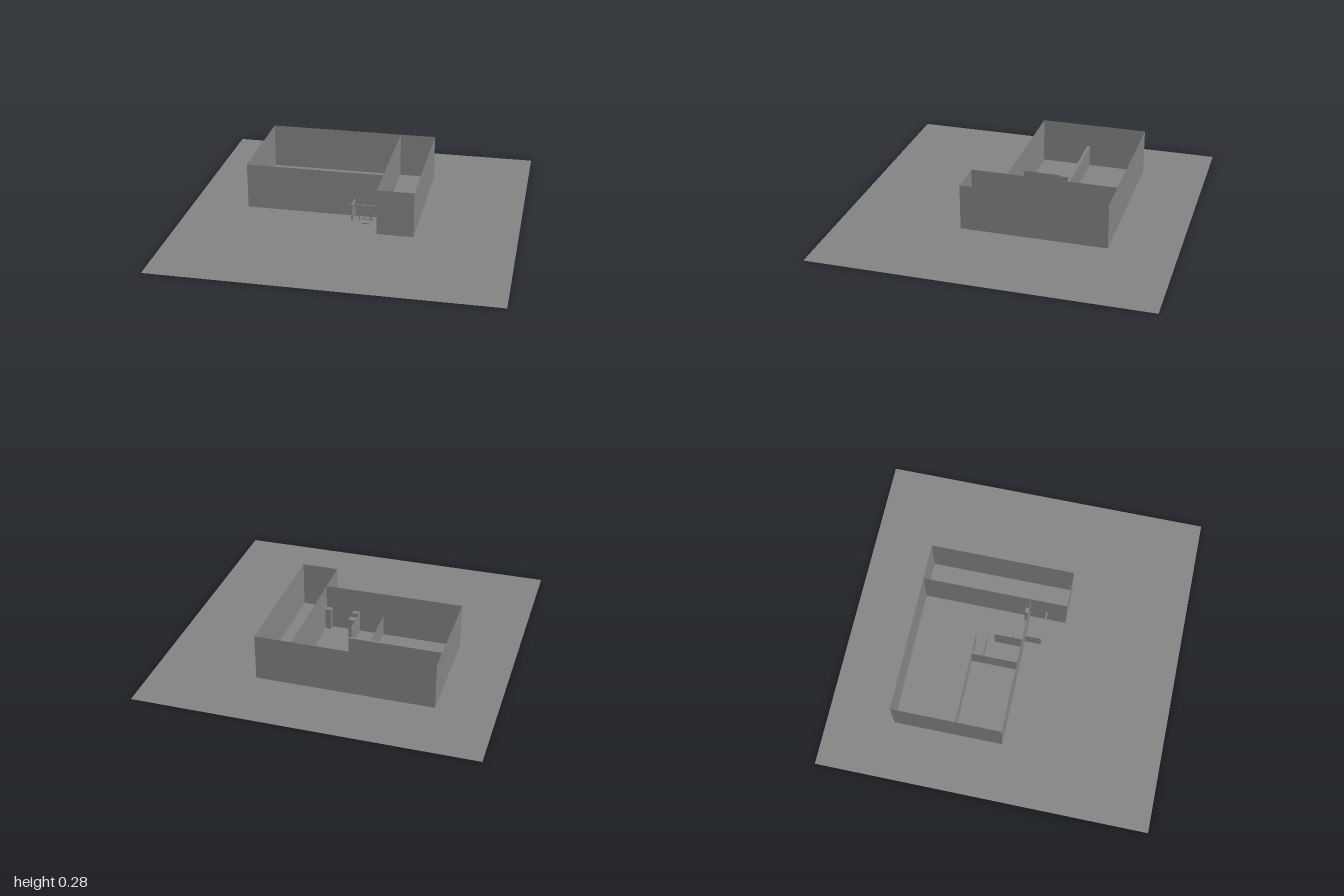
import * as THREE from 'three';

export function createModel() {
  const model = new THREE.Group();
  const mat = new THREE.MeshStandardMaterial({ color: 0x848484, side: THREE.DoubleSide, flatShading: true });

  // Thin upright sheet between two floor points
  function sheet(name, x0, z0, x1, z1, height) {
    const mesh = new THREE.Mesh(new THREE.PlaneGeometry(Math.hypot(x1 - x0, z1 - z0), height), mat);
    mesh.name = name;
    mesh.position.set((x0 + x1) / 2, height / 2, (z0 + z1) / 2);
    mesh.rotation.y = Math.atan2(-(z1 - z0), x1 - x0);
    model.add(mesh);
  }

  // Solid block given by its extents
  function block(name, x0, x1, y0, y1, z0, z1) {
    const mesh = new THREE.Mesh(new THREE.BoxGeometry(x1 - x0, y1 - y0, z1 - z0), mat);
    mesh.name = name;
    mesh.position.set((x0 + x1) / 2, (y0 + y1) / 2, (z0 + z1) / 2);
    model.add(mesh);
    return mesh;
  }

  const ground = new THREE.Mesh(new THREE.PlaneGeometry(2, 2), mat);
  ground.name = 'groundSlab';
  ground.rotation.x = -Math.PI / 2;
  model.add(ground);

  // Tall outer shell with a long side wing
  const H = 0.28;
  sheet('backWall', -0.655, -0.6, 0.4, -0.6, H);
  sheet('rightWall', -0.655, -0.6, -0.655, 0.06, H);
  sheet('frontWall', -0.655, 0.06, 0.18, 0.06, H);
  sheet('wingInnerWall', 0.18, -0.6, 0.18, 0.28, H);
  sheet('wingOuterWall', 0.4, -0.6, 0.4, 0.28, H);
  sheet('wingFrontWall', 0.18, 0.28, 0.4, 0.28, H);

  // Low interior partitions
  const L = 0.135;
  block('longPartition', -0.65, -0.05, 0, L, -0.247, -0.23);
  block('crossPartition', -0.18, -0.166, 0, L, -0.23, -0.165);
  sheet('closetRightWall', -0.18, -0.165, -0.18, 0.06, L);
  sheet('closetBackWall', -0.18, -0.165, -0.03, -0.165, 0.09);
  sheet('closetLeftWall', -0.03, -0.12, -0.03, 0.06, L);

  // Pillars around the entrance
  block('closetPillar', -0.03, 0.01, 0, L, -0.05, -0.012);
  block('entrancePillarRight', -0.03, 0.01, 0, L, 0.03, 0.059);
  block('entrancePillarLeft', 0.145, 0.179, 0, L, 0.03, 0.059);

  // Small porch frame in front of the entrance
  const topRail = block('porchTopRail', -0.005, 0.18, 0.118, 0.124, 0.158, 0.166);
  topRail.rotation.z = 0.05;
  block('porchSidePanel', 0.006, 0.014, 0.015, 0.112, 0.06, 0.16);
  for (const x of [0.057, 0.12, 0.132]) {
    block('porchPost', x - 0.003, x + 0.003, 0.025, 0.095, 0.158, 0.164);
  }
  for (const x of [0, 0.033, 0.102, 0.167]) {
    block('porchBracket', x - 0.006, x + 0.006, 0.107, 0.12, 0.156, 0.166);
  }
  for (const [x0, x1, y] of [[0.01, 0.057, 0.058], [0.132, 0.178, 0.058], [0.07, 0.12, 0.034], [0.07, 0.12, 0.004]]) {
    block('porchRail', x0, x1, y - 0.003, y + 0.003, 0.158, 0.164);
  }
  return model;
}
